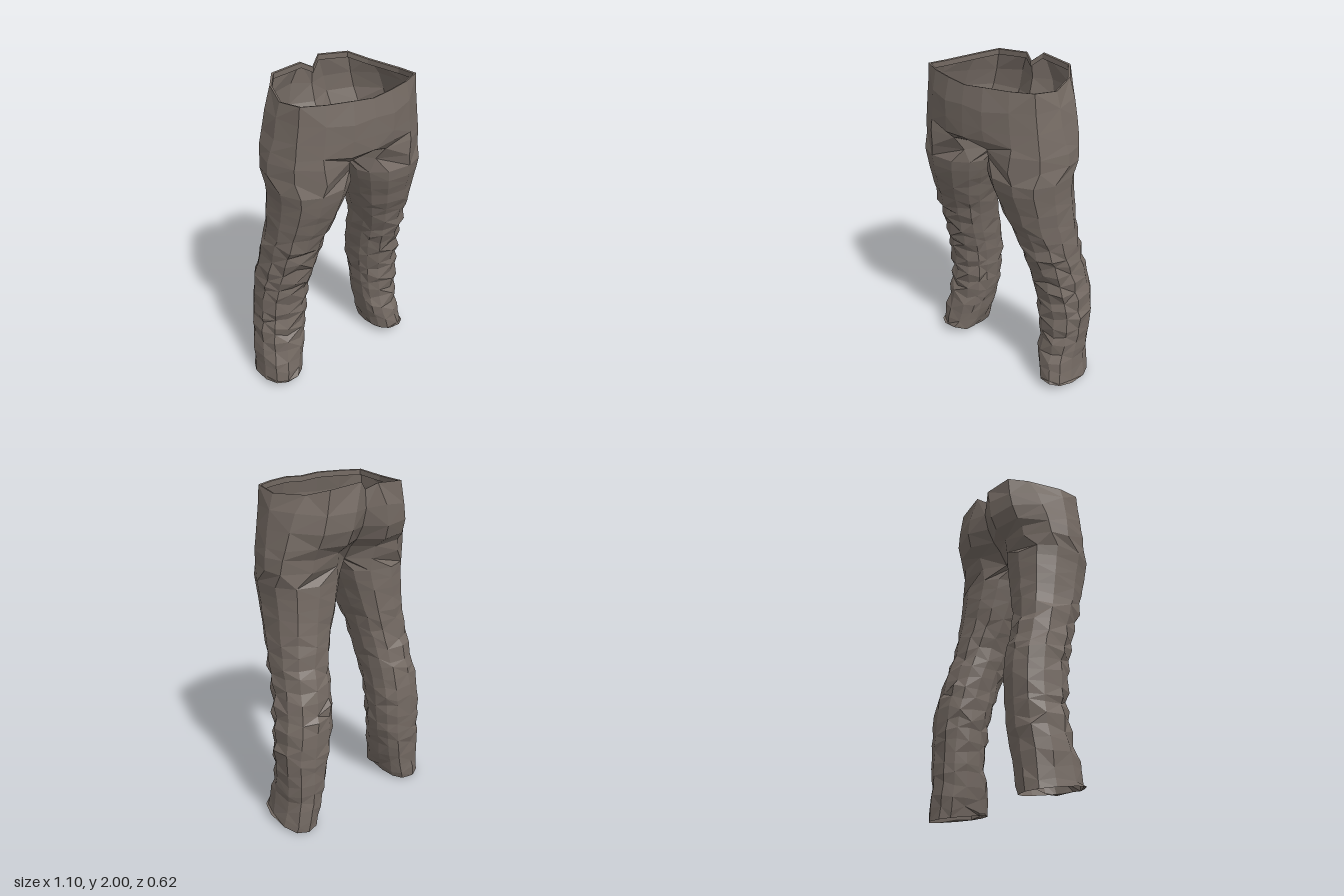
import * as THREE from 'three';

// Half-pelvis rows: height, then x,z pairs from front centre round the hip to back centre
const HIP = [
  [1.95, 0, .288, .12, .278, .26, .237, .375, .18, .395, .03, .33, -.165, .255, -.265, .06, -.283, 0, -.25],
  [1.85, 0, .308, .13, .302, .27, .255, .385, .18, .42, .03, .385, -.14, .28, -.27, .11, -.303, 0, -.26],
  [1.75, 0, .31, .13, .302, .28, .255, .4, .18, .44, .03, .415, -.13, .3, -.265, .13, -.3, 0, -.235],
  [1.67, 0, .31, .14, .295, .29, .255, .41, .18, .46, .02, .44, -.12, .31, -.235, .14, -.27, 0, -.19],
  [1.62, 0, .22, .12, .255, .29, .265, .42, .18, .475, .01, .45, -.11, .31, -.2, .14, -.2, 0, -.14],
  [1.54, 0, .06, .09, .21, .28, .272, .42, .18, .48, .01, .46, -.1, .32, -.195, .13, -.18, 0, -.09],
];
// Height offset of the waist edge at each of the nine points
const WAIST_DY = [0, .01, .01, .01, -.01, 0, .03, .05, 0];

// Leg sections: height, inner x left, inner x right, outer x left, outer x right, front z, back z
const LEG = [
  [1.5, .008, .01, .475, .475, .268, -.195], [1.4, .035, .04, .465, .46, .255, -.198],
  [1.2, .1, .105, .465, .46, .195, -.206], [1, .165, .155, .478, .48, .122, -.23],
  [.8, .19, .178, .502, .497, .058, -.285], [.65, .21, .19, .525, .51, .025, -.31],
  [.5, .23, .2, .545, .515, .008, -.31], [.35, .255, .215, .535, .525, .005, -.305],
  [.2, .275, .25, .522, .545, .042, -.295], [0, .325, .31, .55, .555, .078, -.29],
];
const ANGLES = [140, 110, 80, 48, 14, -18, -52, -86, -118, -146, -173, -198];

function seeded(seed) {
  return () => {
    seed = (seed * 16807) % 2147483647;
    return seed / 2147483647 - 0.5;
  };
}

function legSection(y) {
  let i = 0;
  while (i < LEG.length - 2 && y < LEG[i + 1][0]) i++;
  const a = LEG[i], b = LEG[i + 1];
  const t = (a[0] - y) / (a[0] - b[0]);
  return a.map((v, k) => THREE.MathUtils.lerp(v, b[k], t));
}

// Rounded-square ring, creased into staggered cloth folds
function legRing(y, row, side, rand, hem) {
  const [, inL, inR, outL, outR, zf, zb] = legSection(y);
  const [xi, xo] = side > 0 ? [inL, outL] : [inR, outR];
  const cloth = hem ? 0 : THREE.MathUtils.smoothstep(1.5 - y, 0, .4);
  const knee = THREE.MathUtils.smoothstep(1.25 - y, 0, .3) * THREE.MathUtils.smoothstep(y, .1, .3);
  return ANGLES.map((deg, k) => {
    const a = deg * Math.PI / 180;
    const c = Math.sign(Math.cos(a)) * Math.abs(Math.cos(a)) ** .82;
    const s = Math.sign(Math.sin(a)) * Math.abs(Math.sin(a)) ** .82;
    const front = .3 + .7 * Math.max(0, Math.sin(a + .3));
    const fold = ((row + (k >> 1)) % 2 ? 1 : -1) * .05 * knee * front;
    const r = 1 + fold + rand() * .07 * cloth;
    const z = (zf + zb) / 2 + s * r * (zf - zb) / 2;
    const dy = hem ? Math.max(0, z + .285) * .17 : rand() * .04 * cloth;
    return [(xi + xo) / 2 + c * r * (xo - xi) / 2, y + dy, z];
  });
}

// Faceted skin across successive rows; closed rows wrap round
function loft(rows, closed, side) {
  const pos = [];
  const tri = (a, b, c) => (side > 0 ? [a, b, c] : [a, c, b])
    .forEach(p => pos.push(p[0] * side, p[1], p[2]));
  for (let i = 0; i < rows.length - 1; i++) {
    const up = rows[i], low = rows[i + 1], n = up.length;
    for (let k = 0; k < (closed ? n : n - 1); k++) {
      const m = (k + 1) % n;
      if ((i + k) % 2) {
        tri(up[k], low[k], low[m]);
        tri(up[k], low[m], up[m]);
      } else {
        tri(up[k], low[k], up[m]);
        tri(up[m], low[k], low[m]);
      }
    }
  }
  const g = new THREE.BufferGeometry();
  g.setAttribute('position', new THREE.Float32BufferAttribute(pos, 3));
  g.computeVertexNormals();
  return g;
}

export function createModel() {
  const group = new THREE.Group();
  group.name = 'trousers';
  const cloth = new THREE.MeshStandardMaterial({ color: 0x756b64, side: THREE.DoubleSide });
  cloth.name = 'brown grey cloth';
  const add = (name, geometry) => {
    const mesh = new THREE.Mesh(geometry, cloth);
    mesh.name = name;
    group.add(mesh);
  };

  for (const side of [1, -1]) {
    const label = side > 0 ? 'left' : 'right';
    const rand = seeded(side > 0 ? 4711 : 9203);

    // Hip and seat; the back of the waist sits slightly higher on the left
    const hip = HIP.map(([y, ...p], row) => WAIST_DY.map((d, k) => {
      const edge = row === 0 ? d * (side < 0 && k > 5 ? .6 : 1) : 0;
      const loose = row > 0 && k % 8 ? rand() * .025 : 0;
      return [p[2 * k], y + edge + loose, p[2 * k + 1]];
    }));
    add(label + 'Hip', loft(hip, false, side));

    // Turned-in waist edge
    const fold = hip[0].map(([x, y, z]) => [x * .97, y - .003, z * .965]);
    const inner = fold.map(([x, y, z]) => [x, y - .03, z]);
    add(label + 'WaistEdge', loft([inner, fold, hip[0]], false, side));

    // Leg, starting from the crotch seam
    const crotch = [...hip[5], [0, 1.535, -.05], [0, 1.53, -.01], [0, 1.53, .03]];
    const rows = [crotch];
    const count = 23;
    for (let i = 0; i <= count; i++) {
      rows.push(legRing(1.46 * (1 - i / count), i, side, rand, i === count));
    }
    add(label + 'Leg', loft(rows, true, side));
  }
  return group;
}
